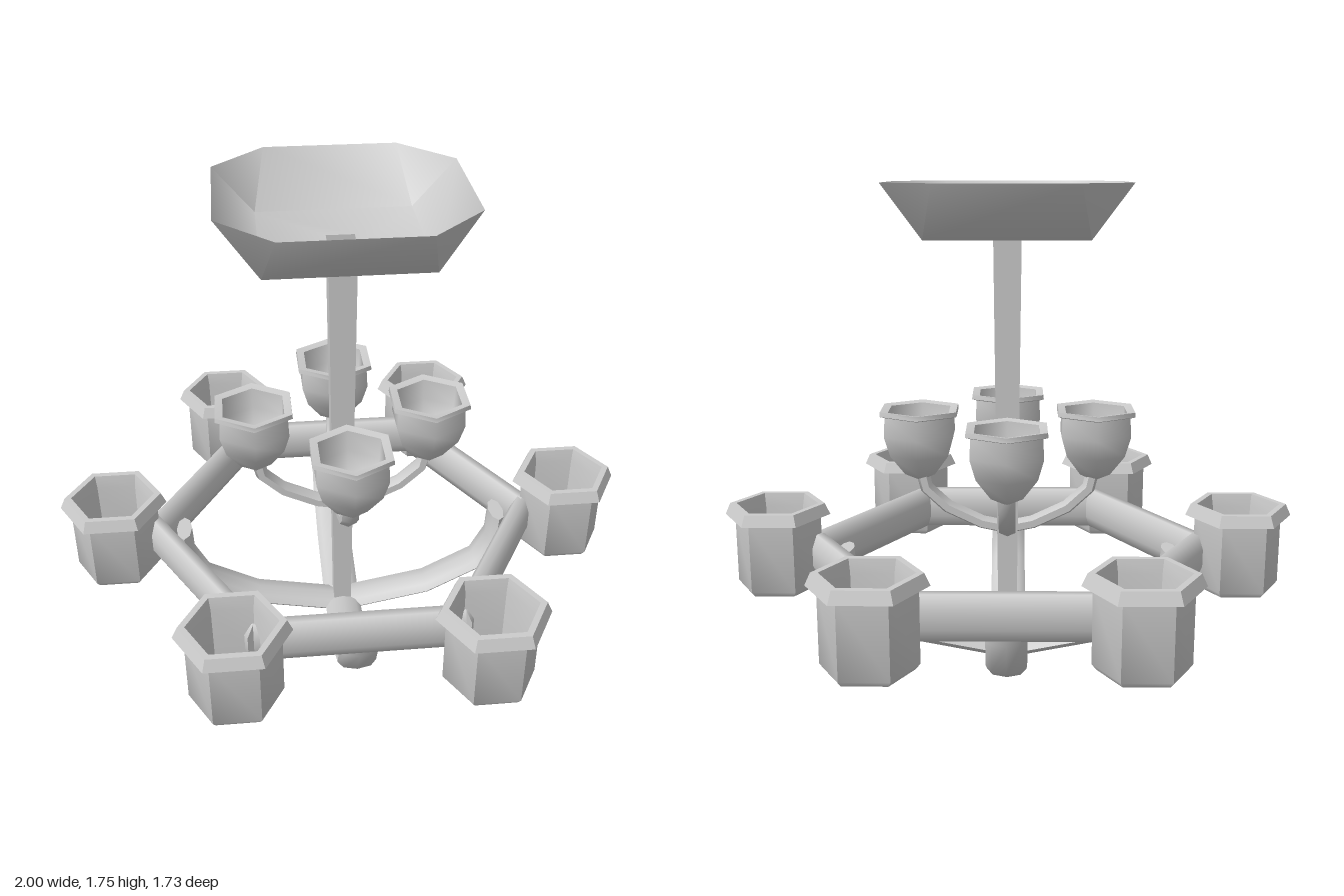
import * as THREE from 'three';
import { toCreasedNormals } from 'three/addons/utils/BufferGeometryUtils.js';

const grey = new THREE.MeshStandardMaterial({ color: 0xcccccc, side: THREE.DoubleSide });

function mesh(name, geometry, x = 0, y = 0, z = 0) {
  const m = new THREE.Mesh(geometry, grey);
  m.name = name;
  m.position.set(x, y, z);
  return m;
}

// Skin a list of equal-sized rings of [x, y, z] points
function loft(rings, capped, crease) {
  const n = rings[0].length;
  const index = [];
  for (let i = 0; i < rings.length - 1; i++) {
    for (let j = 0; j < n; j++) {
      const a = i * n + j, b = i * n + (j + 1) % n;
      index.push(a, b, b + n, a, b + n, a + n);
    }
  }
  if (capped) {
    const last = (rings.length - 1) * n;
    for (let j = 1; j < n - 1; j++) index.push(0, j + 1, j, last, last + j, last + j + 1);
  }
  const g = new THREE.BufferGeometry();
  g.setAttribute('position', new THREE.Float32BufferAttribute(rings.flat(2), 3));
  g.setIndex(index);
  return toCreasedNormals(g, crease);
}

// Oval tube along a path in the xy plane; thick is in that plane, wide is across it
function armGeometry(path, thick, wide, sides) {
  const rings = path.map(([x, y], i) => {
    const p = path[Math.max(i - 1, 0)], q = path[Math.min(i + 1, path.length - 1)];
    const len = Math.hypot(q[0] - p[0], q[1] - p[1]);
    const tx = (q[0] - p[0]) / len, ty = (q[1] - p[1]) / len;
    return Array.from({ length: sides }, (_, j) => {
      const a = (j / sides) * Math.PI * 2;
      const u = Math.cos(a) * thick, w = Math.sin(a) * wide;
      return [x - ty * u, y + tx * u, w];
    });
  });
  return loft(rings, true, 1.1);
}

function lathe(profile, sides, crease) {
  const points = profile.map(([r, y]) => new THREE.Vector2(r, y));
  return toCreasedNormals(new THREE.LatheGeometry(points, sides), crease);
}

export function createModel() {
  const model = new THREE.Group();
  model.name = 'chandelier';

  // Ceiling canopy: open dish from an eight-sided rim to a square base with a hole for the rod
  const ring = (y, a, b) => [[a, b], [b, a], [-b, a], [-a, b], [-a, -b], [-b, -a], [b, -a], [a, -b]]
    .map(([x, z]) => [x, y, z]);
  model.add(mesh('canopy', loft(
    [ring(1.755, 0.4, 0.225), ring(1.58, 0.265, 0.265), ring(1.58, 0.047, 0.047)], false, 1.2)));

  // Square tapering rod, open at the top
  const rod = new THREE.CylinderGeometry(0.067, 0.044, 1.49, 4, 1, true);
  rod.rotateY(Math.PI / 4);
  model.add(mesh('rod', toCreasedNormals(rod, 0.5), 0, 0.835, 0));

  // Finial under the rod
  model.add(mesh('finial', lathe(
    [[0, 0], [0.04, 0], [0.04, 0.018], [0.056, 0.04], [0.054, 0.065], [0.035, 0.09], [0, 0.1]], 8, 0.9)));

  // Hexagonal ring of oval bars
  const bar = new THREE.CylinderGeometry(1, 1, 0.69, 8);
  bar.rotateY(Math.PI / 8);
  bar.rotateZ(Math.PI / 2);
  bar.scale(1, 0.083, 0.041);
  for (let i = 0; i < 6; i++) {
    const a = (i * Math.PI) / 3;
    const m = mesh('ringBar', bar, Math.sin(a) * 0.582, 0.458, Math.cos(a) * 0.582);
    m.rotation.y = a;
    model.add(m);
  }

  // Six large hexagonal shades at the ring corners
  const shade = lathe([
    [0, 0.34], [0.138, 0.34], [0.152, 0.358], [0.152, 0.605], [0.186, 0.605], [0.168, 0.645],
    [0.145, 0.645], [0.135, 0.6], [0.13, 0.37], [0, 0.37],
  ], 6, 0.8);
  shade.rotateY(Math.PI / 6);
  for (let i = 0; i < 6; i++) {
    const a = (i * Math.PI) / 3;
    model.add(mesh('largeShade', shade, Math.cos(a) * 0.815, 0, Math.sin(a) * 0.815));
  }

  // Four lower arms, and four upper arms carrying small cups
  const lowerArm = armGeometry(
    [[0, 0.1], [0.32, 0.162], [0.51, 0.262], [0.568, 0.37], [0.575, 0.48]], 0.028, 0.066, 8);
  const upperArm = armGeometry(
    [[0, 0.56], [0.09, 0.578], [0.21, 0.635], [0.285, 0.705], [0.3, 0.77]], 0.024, 0.033, 6);
  const cup = lathe([
    [0, 0.73], [0.06, 0.76], [0.115, 0.83], [0.137, 0.9], [0.133, 0.968], [0.152, 0.974],
    [0.15, 0.99], [0.12, 0.985], [0.116, 0.91], [0.085, 0.83], [0, 0.79],
  ], 6, 1.1);
  for (let i = 0; i < 4; i++) {
    const a = (i * Math.PI) / 2;
    const lower = mesh('lowerArm', lowerArm);
    const upper = mesh('upperArm', upperArm);
    lower.rotation.y = upper.rotation.y = a;
    model.add(lower, upper, mesh('smallCup', cup, Math.cos(a) * 0.305, 0, Math.sin(a) * 0.305));
  }

  return model;
}
